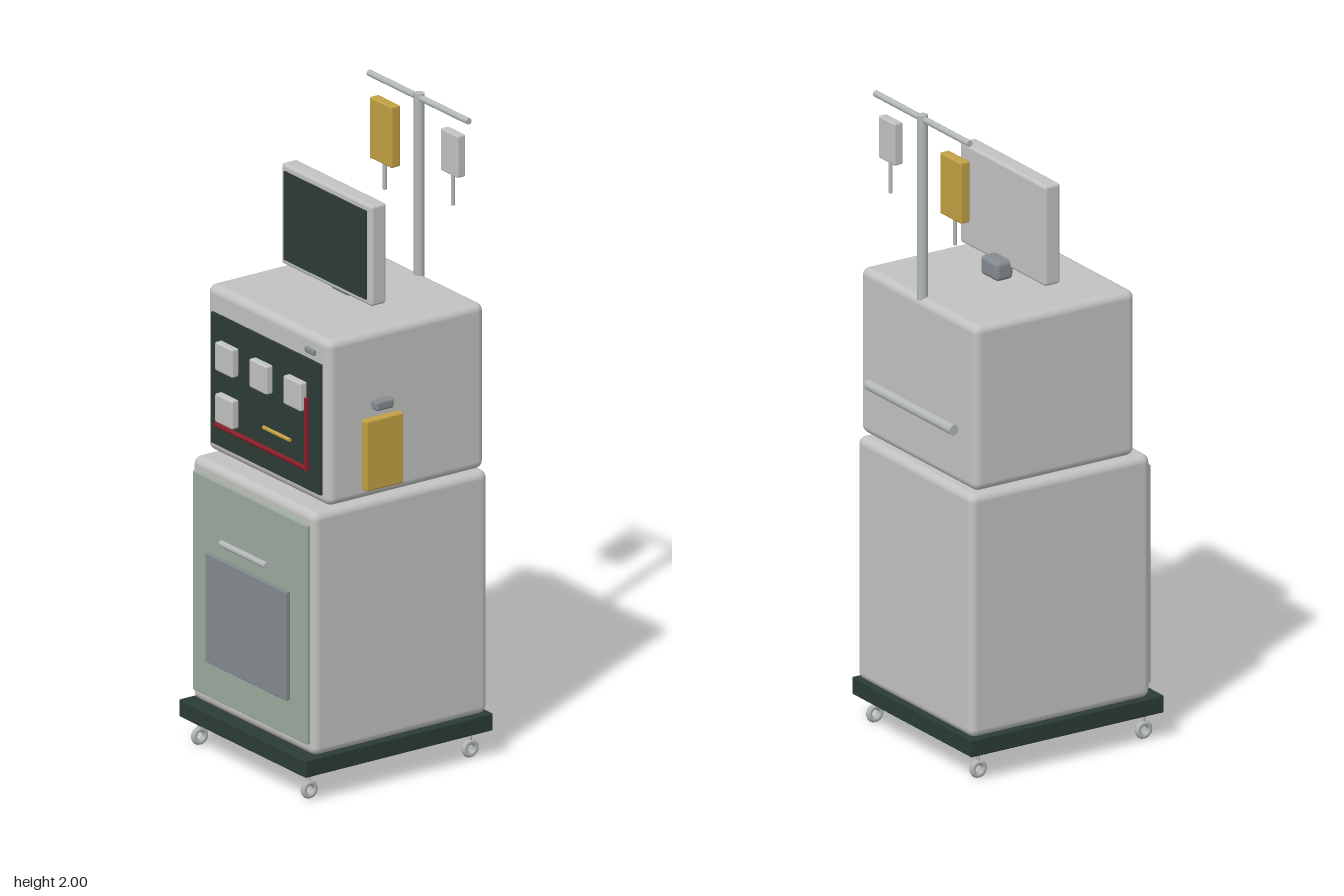
import * as THREE from 'three';
import { RoundedBoxGeometry } from 'three/addons/geometries/RoundedBoxGeometry.js';

function material(name, color) {
  const m = new THREE.MeshStandardMaterial({ color });
  m.name = name;
  return m;
}

export function createModel() {
  const shell = material('light grey shell', 0xc2c3c1);
  const dark = material('dark green', 0x2b3b35);
  const sage = material('sage green', 0x9bab9e);
  const slate = material('slate grey', 0x848b8f);
  const metal = material('metal', 0xb4b8b8);
  const amber = material('amber', 0xc2a143);
  const red = material('dark red', 0x861f28);

  const model = new THREE.Group();
  const add = (name, geometry, mat, x, y, z, parent = model) => {
    const mesh = new THREE.Mesh(geometry, mat);
    mesh.name = name;
    mesh.position.set(x, y, z);
    parent.add(mesh);
    return mesh;
  };
  // box given by its limits on each axis; r rounds the edges
  const box = (name, mat, [x0, x1], [y0, y1], [z0, z1], r = 0, parent = model) => {
    const s = [x1 - x0, y1 - y0, z1 - z0];
    const g = r ? new RoundedBoxGeometry(...s, 3, r) : new THREE.BoxGeometry(...s);
    return add(name, g, mat, (x0 + x1) / 2, (y0 + y1) / 2, (z0 + z1) / 2, parent);
  };
  // round bar between two points
  const bar = (name, mat, a, b, r, parent = model) => {
    const p = new THREE.Vector3(...a), q = new THREE.Vector3(...b);
    const d = q.clone().sub(p);
    const mid = p.clone().add(q).multiplyScalar(0.5);
    const mesh = add(name, new THREE.CylinderGeometry(r, r, d.length(), 16), mat, mid.x, mid.y, mid.z, parent);
    mesh.quaternion.setFromUnitVectors(new THREE.Vector3(0, 1, 0), d.normalize());
    return mesh;
  };

  // wheeled base
  box('base', dark, [-0.33, 0.306], [0.086, 0.14], [-0.335, 0.345], 0.004);
  for (const x of [-0.288, 0.262]) for (const z of [-0.283, 0.3]) {
    const caster = new THREE.Group();
    caster.name = 'caster';
    caster.position.set(x, 0, z);
    model.add(caster);
    const wheel = add('wheel', new THREE.TorusGeometry(0.02, 0.009, 10, 24), metal, 0, 0.029, 0, caster);
    wheel.rotation.y = Math.PI / 2;
    bar('stem', metal, [0, 0.04, 0], [0, 0.09, 0], 0.006, caster);
  }

  // lower cabinet with its door
  box('lowerCabinet', shell, [-0.32, 0.294], [0.138, 0.902], [-0.328, 0.307], 0.025);
  box('door', sage, [-0.3, 0.274], [0.175, 0.862], [0.3, 0.317], 0.003);
  box('doorPanel', slate, [-0.217, 0.19], [0.29, 0.632], [0.316, 0.332], 0.003);
  bar('doorHandle', metal, [-0.127, 0.69, 0.338], [0.101, 0.69, 0.338], 0.01);

  // upper cabinet with its control panel
  box('upperCabinet', shell, [-0.32, 0.294], [0.91, 1.43], [-0.315, 0.252], 0.025);
  box('controlPanel', dark, [-0.286, 0.262], [0.942, 1.352], [0.25, 0.26]);
  for (const [x, y] of [[-0.185, 1.237], [-0.013, 1.237], [0.158, 1.237], [-0.185, 1.075]])
    box('pump', shell, [x - 0.044, x + 0.044], [y - 0.045, y + 0.045], [0.263, 0.289], 0.006);
  bar('redLineAcross', red, [-0.24, 1.016, 0.276], [0.22, 1.016, 0.276], 0.008);
  bar('redLineUp', red, [0.215, 1.01, 0.276], [0.215, 1.237, 0.276], 0.008);
  bar('amberLine', amber, [0, 1.08, 0.276], [0.132, 1.08, 0.276], 0.006);
  box('indicator', slate, [0.192, 0.238], [1.374, 1.391], [0.256, 0.268], 0.004);
  bar('rearHandle', metal, [-0.24, 1.088, -0.337], [0.214, 1.088, -0.337], 0.016);

  // canister on the left side
  box('sideCanister', amber, [0.296, 0.325], [0.944, 1.166], [0.002, 0.137], 0.006);
  box('sideClip', slate, [0.296, 0.328], [1.189, 1.22], [0.038, 0.102], 0.008);

  // monitor
  box('monitorMount', slate, [-0.058, 0.034], [1.436, 1.497], [-0.065, -0.004], 0.014);
  box('monitorCase', shell, [-0.24, 0.214], [1.47, 1.786], [-0.016, 0.04], 0.01);
  box('screen', dark, [-0.22, 0.192], [1.488, 1.766], [0.036, 0.045]);

  // drip pole with two hanging bags
  bar('pole', metal, [-0.013, 1.42, -0.297], [-0.013, 2, -0.297], 0.016);
  bar('crossbar', metal, [-0.262, 1.987, -0.296], [0.238, 1.987, -0.296], 0.01);
  box('amberBag', amber, [-0.24, -0.128], [1.73, 1.922], [-0.313, -0.28], 0.005);
  bar('amberBagTube', metal, [-0.184, 1.645, -0.296], [-0.184, 1.735, -0.296], 0.006);
  box('clearBag', shell, [0.115, 0.202], [1.8, 1.932], [-0.311, -0.281], 0.005);
  bar('clearBagTube', metal, [0.158, 1.7, -0.296], [0.158, 1.805, -0.296], 0.006);

  return model;
}
